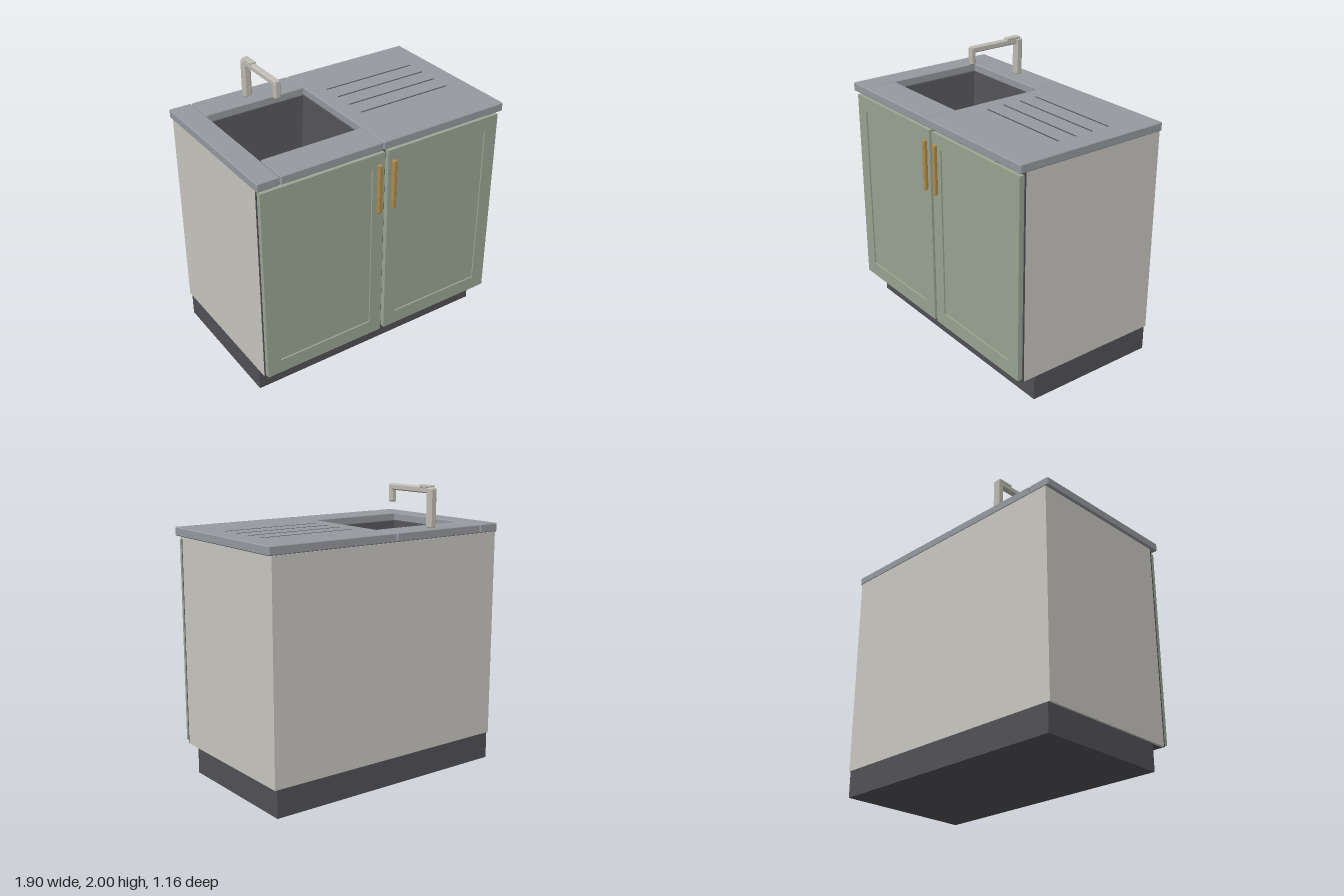
import * as THREE from 'three';
import { ConvexGeometry } from 'three/addons/geometries/ConvexGeometry.js';

const mat = (name, color, side = THREE.FrontSide) => {
  const m = new THREE.MeshStandardMaterial({ color, side });
  m.name = name;
  return m;
};

export function createModel() {
  const root = new THREE.Group();
  root.name = 'sinkCabinet';
  const green = mat('sageGreen', 0x9ba693);
  const cream = mat('warmWhite', 0xc9c7c1);
  const dark = mat('charcoal', 0x525156, THREE.DoubleSide);
  const stone = mat('greyStone', 0x969a9f);
  const brass = mat('brass', 0xb08c4c);
  const steel = mat('brushedSteel', 0xbfbdb4);

  const add = (name, geometry, material, parent = root) => {
    const mesh = new THREE.Mesh(geometry, material);
    mesh.name = name;
    parent.add(mesh);
    return mesh;
  };
  // Box given by its limits, optionally with all edges chamfered by c
  const box = (name, material, [x0, x1], [y0, y1], [z0, z1], c = 0, parent = root) => {
    const a = (x1 - x0) / 2, b = (y1 - y0) / 2, d = (z1 - z0) / 2;
    let geometry;
    if (c > 0) {
      const points = [];
      for (const i of [-1, 1]) for (const j of [-1, 1]) for (const k of [-1, 1]) {
        points.push(
          new THREE.Vector3(i * a, j * (b - c), k * (d - c)),
          new THREE.Vector3(i * (a - c), j * b, k * (d - c)),
          new THREE.Vector3(i * (a - c), j * (b - c), k * d));
      }
      geometry = new ConvexGeometry(points);
    } else {
      geometry = new THREE.BoxGeometry(2 * a, 2 * b, 2 * d);
    }
    const mesh = add(name, geometry, material, parent);
    mesh.position.set((x0 + x1) / 2, (y0 + y1) / 2, (z0 + z1) / 2);
    return mesh;
  };
  // Rectangular plate with a rectangular hole, extruded along z
  const frame = (x0, x1, y0, y1, hx0, hx1, hy0, hy1, depth) => {
    const rect = (Type, l, r, b, t) => new Type([
      new THREE.Vector2(l, b), new THREE.Vector2(r, b),
      new THREE.Vector2(r, t), new THREE.Vector2(l, t)]);
    const shape = rect(THREE.Shape, x0, x1, y0, y1);
    shape.holes.push(rect(THREE.Path, hx0, hx1, hy0, hy1));
    return new THREE.ExtrudeGeometry(shape, { depth, bevelEnabled: false });
  };

  // Carcass and plinth
  box('plinth', dark, [-0.915, 0.915], [0, 0.19], [-0.58, 0.415]);
  box('carcassFloor', dark, [-0.91, 0.91], [0.19, 0.21], [-0.56, 0.515]);
  box('carcassFront', dark, [-0.93, 0.93], [0.19, 1.66], [0.515, 0.525]);
  box('carcassBack', cream, [-0.93, 0.93], [0.19, 1.66], [-0.58, -0.56]);
  for (const s of [-1, 1]) {
    box('carcassSide', cream, [s * 0.92 - 0.01, s * 0.92 + 0.01], [0.19, 1.66], [-0.56, 0.515]);
  }

  // Doors with a recessed centre panel, and their handles
  for (const s of [-1, 1]) {
    const door = new THREE.Group();
    door.name = s > 0 ? 'leftDoor' : 'rightDoor';
    root.add(door);
    const span = (a, b) => (s > 0 ? [a, b] : [-b, -a]);
    add('doorFrame', frame(...span(0.014, 0.924), 0.21, 1.635,
      ...span(0.107, 0.824), 0.313, 1.533, 0.035), green, door).position.z = 0.525;
    box('doorPanel', green, span(0.106, 0.825), [0.312, 1.534], [0.525, 0.549], 0, door);
    box('handle', brass, span(0.043, 0.071), [1.205, 1.56], [0.556, 0.585], 0.005, door);
  }

  // Worktop slabs around the sink opening
  const top = [1.66, 1.72], edge = 0.006;
  box('worktopRightEnd', stone, [-0.95, -0.79], top, [-0.58, 0.575], edge);
  box('worktopDrainer', stone, [-0.036, 0.95], top, [-0.58, 0.575], edge);
  box('worktopBack', stone, [-0.785, -0.041], top, [-0.58, -0.365], edge);
  box('worktopFront', stone, [-0.785, -0.041], top, [0.335, 0.575], edge);

  // Drainer grooves
  for (let i = 0; i < 4; i++) {
    const z = -0.25 + i * 0.137;
    box('drainGroove', dark, [0.08, 0.8], [1.717, 1.721], [z - 0.006, z + 0.006]);
  }

  // Sub-frame below the worktop
  const sub = add('sinkSubFrame', frame(-0.91, 0.91, -0.515, 0.56,
    -0.785, -0.041, -0.335, 0.365, 0.015), dark);
  sub.rotation.x = -Math.PI / 2;
  sub.position.y = 1.644;

  // Tapered basin: a rim loop and a smaller floor loop
  const loop = (x0, x1, z0, z1, y) => [x0, y, z0, x0, y, z1, x1, y, z1, x1, y, z0];
  const basin = new THREE.BufferGeometry();
  basin.setAttribute('position', new THREE.Float32BufferAttribute([
    ...loop(-0.785, -0.041, -0.365, 0.335, 1.66),
    ...loop(-0.73, -0.096, -0.31, 0.28, 1.25)], 3));
  const index = [4, 5, 6, 4, 6, 7];
  for (let i = 0; i < 4; i++) {
    const j = (i + 1) % 4;
    index.push(i, j, j + 4, i, j + 4, i + 4);
  }
  basin.setIndex(index);
  const basinFlat = basin.toNonIndexed();
  basinFlat.computeVertexNormals();
  add('basin', basinFlat, dark);

  // Tap
  const tap = new THREE.Group();
  tap.name = 'tap';
  root.add(tap);
  const across = (w) => [-0.415 - w / 2, -0.415 + w / 2];
  box('tapPost', steel, across(0.056), [1.715, 1.985], [-0.51, -0.455], 0.01, tap);
  box('tapArm', steel, across(0.044), [1.945, 1.988], [-0.5, -0.06], 0.008, tap);
  box('tapSpout', steel, across(0.044), [1.86, 1.98], [-0.1, -0.06], 0.008, tap);
  box('tapLever', steel, across(0.046), [1.98, 2.0], [-0.49, -0.375], 0.004, tap);

  return root;
}
